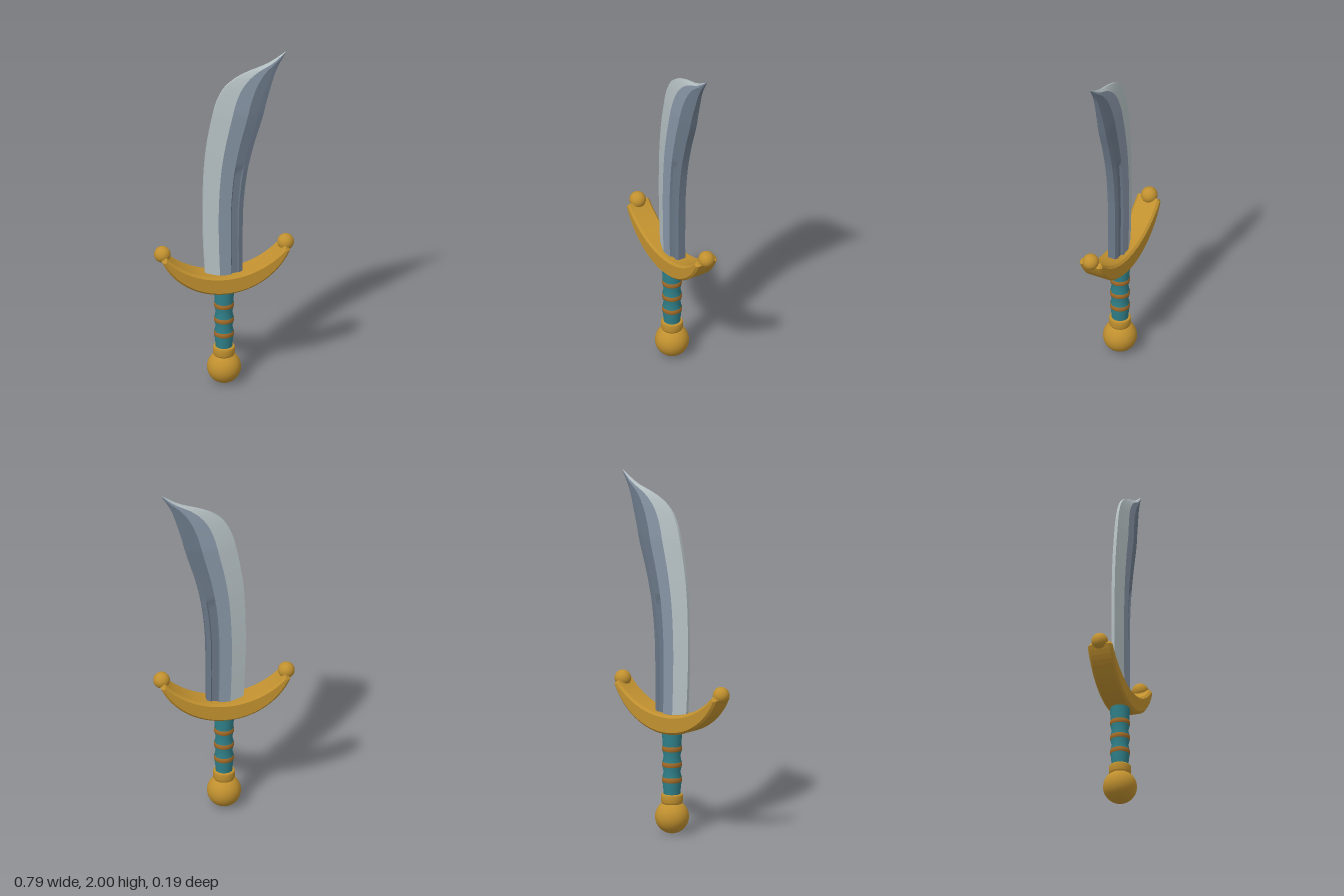
import * as THREE from 'three';

const mat = (name, color, opts = {}) => {
  const m = new THREE.MeshStandardMaterial({ color, ...opts });
  m.name = name;
  return m;
};

export function createModel() {
  const gold = mat('gold', 0xc0902f);
  const teal = mat('teal leather', 0x2f7f88);
  const bronze = mat('bronze band', 0xa46c28);
  const edgeSteel = mat('pale edge steel', 0xb4bfc2);
  const bodySteel = mat('blue steel', 0x8795a5);
  const spineSteel = mat('dark steel', 0x6b7888);

  const model = new THREE.Group();
  model.name = 'curvedSword';
  const add = (name, geometry, material, x = 0, y = 0, z = 0, parent = model) => {
    const mesh = new THREE.Mesh(geometry, material);
    mesh.name = name;
    mesh.position.set(x, y, z);
    parent.add(mesh);
    return mesh;
  };

  // Pommel and collar
  add('pommel', new THREE.SphereGeometry(0.0935, 40, 28), gold, 0, 0.0935);
  const collar = [[0, 0.165], [0.054, 0.165], [0.061, 0.18], [0.061, 0.214], [0.056, 0.222], [0, 0.222]];
  add('collar', new THREE.LatheGeometry(collar.map(p => new THREE.Vector2(...p)), 36), gold);

  // Grip: waisted between the raised bands
  const grip = [[0.046, 0.21], [0.047, 0.24], [0.052, 0.285], [0.052, 0.32], [0.046, 0.345], [0.052, 0.372],
    [0.052, 0.405], [0.046, 0.433], [0.052, 0.462], [0.052, 0.495], [0.055, 0.56], [0.055, 0.6]];
  add('grip', new THREE.LatheGeometry(grip.map(p => new THREE.Vector2(...p)), 32), teal);
  for (const y of [0.303, 0.389, 0.478]) {
    const band = [[0.05, -0.015], [0.054, -0.012], [0.055, 0], [0.054, 0.012], [0.05, 0.015]];
    add('gripBand', new THREE.LatheGeometry(band.map(p => new THREE.Vector2(...p)), 32), bronze, 0, y);
  }

  // Crescent guard, bevelled front and back
  const arc = (R, bottom, xEnd, n = 32) => Array.from({ length: n + 1 }, (_, i) => {
    const a = Math.asin(xEnd / R) * (2 * i / n - 1);
    return new THREE.Vector2(R * Math.sin(a), bottom + R * (1 - Math.cos(a)));
  });
  const outer = arc(0.393, 0.565, 0.36);
  const inner = arc(0.448, 0.672, 0.335).reverse();
  const bevel = 0.012;
  const guard = new THREE.ExtrudeGeometry(new THREE.Shape([...outer, ...inner]), {
    depth: 0.14 - 2 * bevel, bevelEnabled: true, bevelThickness: bevel,
    bevelSize: bevel, bevelOffset: -bevel, bevelSegments: 1,
  });
  add('guard', guard, gold, 0, 0, -0.07 + bevel);
  for (const s of [-1, 1]) add('guardBall', new THREE.SphereGeometry(0.046, 28, 20), gold, s * 0.347, 0.824);

  // Blade: matching points on the cutting edge and the spine
  const curve = pts => new THREE.CatmullRomCurve3(pts.map(([x, y]) => new THREE.Vector3(x, y, 0)));
  const edge = curve([[-0.105, 0.64], [-0.118, 0.9], [-0.12, 1.1], [-0.114, 1.3], [-0.1, 1.45], [-0.07, 1.62],
    [-0.042, 1.73], [0, 1.81], [0.06, 1.862], [0.13, 1.896], [0.25, 1.938], [0.352, 2]]);
  const spine = curve([[0.1, 0.64], [0.1, 0.9], [0.105, 1.1], [0.128, 1.3], [0.165, 1.46], [0.21, 1.61],
    [0.235, 1.71], [0.258, 1.79], [0.276, 1.85], [0.292, 1.895], [0.318, 1.945], [0.352, 2]]);

  // Half section: position across, half thickness, half thickness in the fuller
  const half = [[0, 0.009, 0.009], [0.37, 0.036, 0.036], [0.68, 0.036, 0.036], [0.71, 0.035, 0.024],
    [0.86, 0.03, 0.024], [0.89, 0.029, 0.031], [1, 0.022, 0.022]];
  const section = [...half.map(p => [...p, 1]), ...half.slice().reverse().map(p => [...p, -1])];
  const steps = 66;
  const point = (j, i) => {
    const [u, z, zFuller, side] = section[j % section.length];
    const t = i / steps;
    const p = edge.getPoint(t).lerp(spine.getPoint(t), u);
    const taper = Math.pow(Math.min(1, Math.max(0, (2 - p.y) / 0.35)), 0.6);
    p.z = side * taper * (t < 3.05 / 11 ? zFuller : z);
    return p;
  };

  const blade = new THREE.Group();
  blade.name = 'blade';
  model.add(blade);
  const names = ['edgeBevel', 'flat', 'fullerWall', 'fullerFloor', 'fullerWall', 'spineSlope'];
  const strips = [...names, 'spine', ...names.slice().reverse(), 'cuttingEdge'];
  strips.forEach((name, j) => {
    const pos = [], idx = [];
    for (let i = 0; i <= steps; i++) {
      pos.push(...point(j, i).toArray(), ...point(j + 1, i).toArray());
      const k = 2 * i;
      if (i < steps) idx.push(k, k + 1, k + 3, k, k + 3, k + 2);
    }
    const g = new THREE.BufferGeometry();
    g.setAttribute('position', new THREE.Float32BufferAttribute(pos, 3));
    g.setIndex(idx);
    g.computeVertexNormals();
    const steel = /edge/i.test(name) ? edgeSteel : name === 'flat' ? bodySteel : spineSteel;
    add(name, g, steel, 0, 0, 0, blade);
  });

  return model;
}
